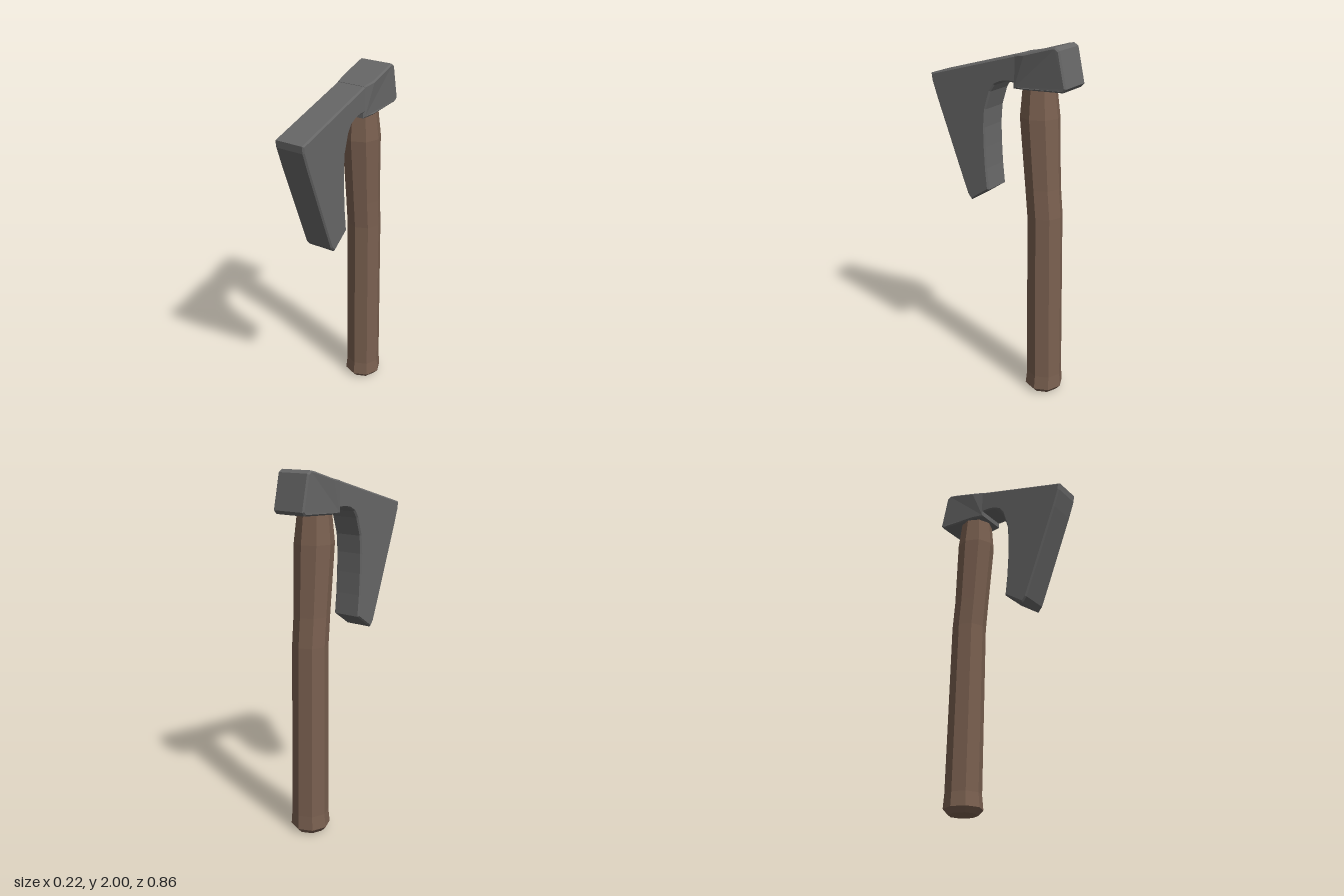
import * as THREE from 'three';

const steel = new THREE.MeshStandardMaterial({ color: 0x666666, flatShading: true });
const wood = new THREE.MeshStandardMaterial({ color: 0x7a6050, flatShading: true });

// Extrudes a (z, y) side outline across x, centred, with a small bevel kept inside the outline.
function sidePlate(outline, halfWidth, bevel) {
  const shape = new THREE.Shape(outline.map(([z, y]) => new THREE.Vector2(z, y)));
  const geo = new THREE.ExtrudeGeometry(shape, {
    depth: 2 * (halfWidth - bevel), bevelEnabled: true, bevelSegments: 1,
    bevelThickness: bevel, bevelSize: bevel, bevelOffset: -bevel,
  });
  geo.translate(0, 0, bevel - halfWidth);
  geo.rotateY(-Math.PI / 2);
  return geo;
}

function named(name, geo, material) {
  const mesh = new THREE.Mesh(geo, material);
  mesh.name = name;
  return mesh;
}

// Bearded blade with a slightly bowed cutting side and hollow inner edge
function createBlade() {
  return named('blade', sidePlate([
    [0.43, 1.785], [-0.11, 1.935], [-0.14, 1.94], [-0.14, 1.795], [-0.07, 1.795],
    [-0.03, 1.787], [0.01, 1.767], [0.035, 1.73], [0.066, 1.63], [0.073, 1.53],
    [0.07, 1.42], [0.063, 1.3], [0.05, 1.18], [0.167, 1.1], [0.193, 1.13],
    [0.255, 1.29], [0.325, 1.475], [0.39, 1.645], [0.425, 1.745],
  ], 0.086, 0.008), steel);
}

// Wider hammer end around the handle, tapering down to the blade width
function createPoll() {
  const geo = sidePlate([
    [-0.11, 1.765], [-0.11, 1.937], [-0.18, 1.95], [-0.33, 1.994], [-0.36, 2.0],
    [-0.385, 1.985], [-0.427, 1.8], [-0.41, 1.78], [-0.18, 1.768],
  ], 0.1, 0.008);
  const pos = geo.attributes.position;
  for (let i = 0; i < pos.count; i++) {
    const t = THREE.MathUtils.clamp((-0.118 - pos.getZ(i)) / 0.06, 0, 1);
    pos.setX(i, pos.getX(i) * THREE.MathUtils.lerp(0.86, 1, t));
  }
  geo.computeVertexNormals();
  return named('poll', geo, steel);
}

// Eight-sided handle: rings of [y, radius, centre z], leaning forward above the bend
function createHandle() {
  const rings = [
    [0, 0, -0.28], [0, 0.082, -0.28], [0.03, 0.109, -0.28], [0.11, 0.102, -0.281],
    [1.08, 0.098, -0.265], [1.24, 0.098, -0.25], [1.62, 0.108, -0.224],
    [1.78, 0.091, -0.22], [1.85, 0.085, -0.22], [1.85, 0, -0.22],
  ];
  const geo = new THREE.LatheGeometry(rings.map(([y, r]) => new THREE.Vector2(r, y)), 8);
  const pos = geo.attributes.position;
  for (let i = 0; i < pos.count; i++) pos.setZ(i, pos.getZ(i) + rings[i % rings.length][2]);
  geo.computeVertexNormals();
  return named('handle', geo, wood);
}

export function createModel() {
  const axe = new THREE.Group();
  axe.name = 'axe';
  const head = new THREE.Group();
  head.name = 'axeHead';
  head.add(createBlade(), createPoll());
  axe.add(head, createHandle());
  return axe;
}
